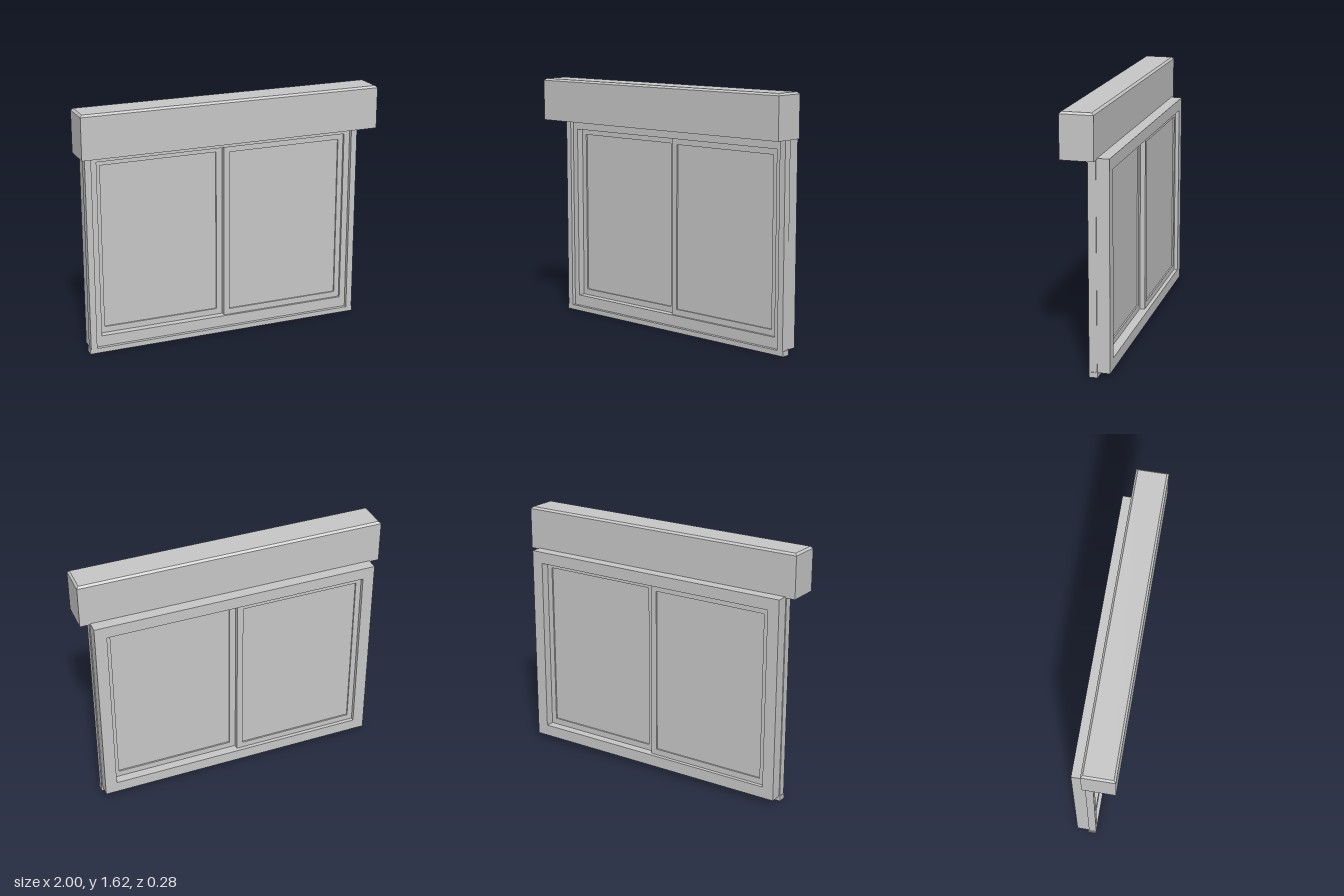
import * as THREE from 'three';

const grey = new THREE.MeshStandardMaterial({ color: 0xc7c7c7 });
grey.name = 'lightGrey';

function mesh(name, geometry) {
  const m = new THREE.Mesh(geometry, grey);
  m.name = name;
  return m;
}

// Box given by its extents on each axis
function block(name, x0, x1, y0, y1, z0, z1) {
  const g = new THREE.BoxGeometry(x1 - x0, y1 - y0, z1 - z0);
  g.translate((x0 + x1) / 2, (y0 + y1) / 2, (z0 + z1) / 2);
  return mesh(name, g);
}

// Rectangular ring between an outer and an inner rectangle, extruded along z
function ring(name, [x0, x1, y0, y1], [a0, a1, b0, b1], z0, z1) {
  const shape = new THREE.Shape([[x0, y0], [x1, y0], [x1, y1], [x0, y1]].map(p => new THREE.Vector2(...p)));
  shape.holes.push(new THREE.Path([[a0, b0], [a0, b1], [a1, b1], [a1, b0]].map(p => new THREE.Vector2(...p))));
  const g = new THREE.ExtrudeGeometry(shape, { depth: z1 - z0, bevelEnabled: false });
  g.translate(0, 0, z0);
  return mesh(name, g);
}

// Sliding sash: ring plus slightly recessed pane
function sash(name, x0, x1, a0, a1, z0, z1) {
  const group = new THREE.Group();
  group.name = name;
  group.add(ring('sashFrame', [x0, x1, 0.105, 1.273], [a0, a1, 0.145, 1.235], z0, z1));
  group.add(block('pane', a0, a1, 0.145, 1.235, z0 + 0.01, z1 - 0.01));
  return group;
}

export function createModel() {
  const model = new THREE.Group();
  model.name = 'slidingWindow';

  // Shutter box with a chamfered lid
  model.add(block('shutterBox', -1, 1, 1.343, 1.612, -0.066, 0.14));
  const lid = new THREE.BoxGeometry(2, 0.013, 0.206).toNonIndexed();
  const p = lid.attributes.position;
  for (let i = 0; i < p.count; i++) {
    if (p.getY(i) > 0) {
      p.setX(i, Math.sign(p.getX(i)) * 0.987);
      p.setZ(i, Math.sign(p.getZ(i)) * 0.09);
    }
  }
  lid.computeVertexNormals();
  lid.translate(0, 1.6185, 0.037);
  model.add(mesh('shutterBoxLid', lid));

  // Fixed frame: wide rear part and a narrower front part between the guides
  const opening = [-0.858, 0.858, 0.105, 1.273];
  model.add(ring('outerFrame', [-0.935, 0.935, 0.03, 1.35], opening, -0.14, -0.06));
  model.add(ring('frontFrame', [-0.9, 0.9, 0.03, 1.345], opening, -0.06, -0.035));

  // Two sashes on neighbouring tracks
  model.add(sash('rearSash', -0.858, 0, -0.822, -0.04, -0.115, -0.0825));
  model.add(sash('frontSash', 0, 0.858, 0.04, 0.822, -0.0825, -0.05));

  // Shutter guide rails
  for (const s of [-1, 1]) {
    const rail = block('guideRail', -0.0205, 0.0205, 0.03, 1.345, -0.06, -0.01);
    rail.position.x = s * 0.9195;
    model.add(rail);
  }

  // Sill with a low rear upstand
  model.add(block('sill', -0.945, 0.945, 0, 0.033, -0.065, -0.012));
  model.add(block('sillUpstand', -0.945, 0.945, 0.033, 0.038, -0.065, -0.055));
  return model;
}
